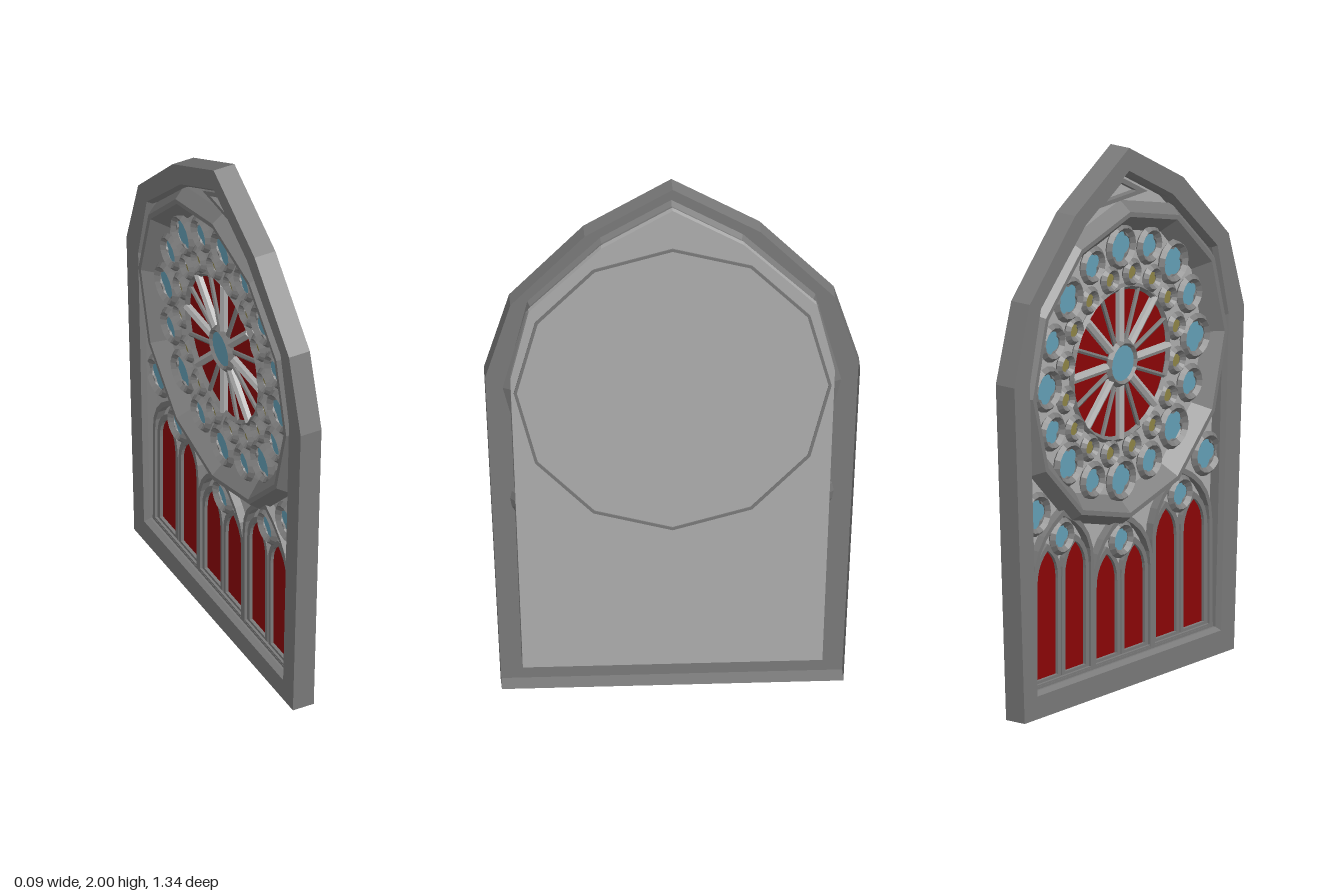
import * as THREE from 'three';

const paint = (color) => new THREE.MeshStandardMaterial({ color, flatShading: true, side: THREE.DoubleSide });

export function createModel() {
  const dark = paint(0x7a7a7a), pale = paint(0xaeaeae);
  const red = paint(0x8c0507), blue = paint(0x64a0b6), amber = paint(0x8e8446);
  const model = new THREE.Group();
  model.name = 'tracedWindow';
  // Built facing +z, then turned so the tracery faces -x
  const win = new THREE.Group();
  win.name = 'window';
  win.rotation.y = -Math.PI / 2;
  model.add(win);
  // Tracery sits on the face of the recessed panel
  const FACE = -0.016;
  const tracery = new THREE.Group();
  tracery.name = 'tracery';
  tracery.position.z = FACE;
  win.add(tracery);

  const add = (name, geo, mat, x = 0, y = 0, z = 0, parent = tracery) => {
    const m = new THREE.Mesh(geo, mat);
    m.name = name;
    m.position.set(x, y, z);
    parent.add(m);
    return m;
  };
  const extrude = (shape, depth) =>
    new THREE.ExtrudeGeometry(shape, { depth, bevelEnabled: false, curveSegments: 5 });
  const mirror = (half) => [...half, ...half.slice(0, -1).reverse().map(([x, y]) => [-x, y])];
  const vectors = (pts) => pts.map(([x, y]) => new THREE.Vector2(x, y));

  // Skin joining closed loops, each given as [points, z]
  const loft = (loops) => {
    const n = loops[0][0].length, pos = [], idx = [];
    loops.forEach(([pts, z]) => pts.forEach(([x, y]) => pos.push(x, y, z)));
    for (let k = 0; k < loops.length - 1; k++) {
      for (let i = 0; i < n; i++) {
        const a = k * n + i, b = k * n + (i + 1) % n;
        idx.push(a, b, b + n, a, b + n, a + n);
      }
    }
    const g = new THREE.BufferGeometry();
    g.setAttribute('position', new THREE.Float32BufferAttribute(pos, 3));
    g.setIndex(idx);
    g.computeVertexNormals();
    return g;
  };

  // Outer frame, hollow and open at the back
  const outer = mirror([[0.61, 0], [0.67, 1.26], [0.58, 1.55], [0.315, 1.82], [0, 2]]);
  const inner = mirror([[0.535, 0.085], [0.58, 1.25], [0.515, 1.52], [0.255, 1.77], [0, 1.915]]);
  const lip = inner.map(([x, y]) => [x * 0.985, 0.9 + (y - 0.9) * 0.985]);
  add('frame', loft([[outer, -0.042], [outer, 0.042], [inner, 0.042], [lip, 0.022], [lip, FACE]]), dark, 0, 0, 0, win);
  add('backPanel', extrude(new THREE.Shape(vectors(inner)), 0.042 + FACE), pale, 0, 0, -0.042, win);

  // Twelve-sided rose surround: bevelled outside, sloping in to the wheel
  const CY = 1.195;
  const dodecagon = (r) => Array.from({ length: 12 }, (_, i) =>
    [r * Math.sin(i * Math.PI / 6), CY + r * Math.cos(i * Math.PI / 6)]);
  add('roseSurround', loft([
    [dodecagon(0.557), -0.042], [dodecagon(0.557), -0.047], [dodecagon(0.568), -0.047], [dodecagon(0.568), -0.02],
    [dodecagon(0.605), 0], [dodecagon(0.568), 0.047], [dodecagon(0.55), 0.047], [dodecagon(0.495), -0.01],
  ]), dark, 0, 0, 0, win);

  // Round light: glass, cusped plate and moulding
  const roundel = (name, x, y, r, mat, turn = 0) => {
    const g = new THREE.Group();
    g.name = name;
    g.position.set(x, y, 0);
    g.rotation.z = turn;
    tracery.add(g);
    add('glass', new THREE.CircleGeometry(r, 12), mat, 0, 0, 0.012, g);
    const plate = new THREE.Shape().absarc(0, 0, r, 0, Math.PI * 2);
    const foil = [];
    for (let i = 0; i < 24; i++) {
      const a = i * Math.PI / 12;
      const q = r * (0.66 + 0.2 * Math.abs(Math.cos(2 * a)));
      foil.push([q * Math.cos(a), q * Math.sin(a)]);
    }
    plate.holes.push(new THREE.Path(vectors(foil)));
    add('cusps', extrude(plate, 0.008), dark, 0, 0, 0.012, g);
    add('moulding', new THREE.TorusGeometry(r, 0.015, 4, 16), dark, 0, 0, 0.02, g);
  };

  // Rose wheel: red glass, spokes, hub, and two rings of round lights
  add('roseGlass', new THREE.CircleGeometry(0.28, 32), red, 0, CY, 0.008);
  add('wheelRim', new THREE.TorusGeometry(0.28, 0.012, 4, 32), dark, 0, CY, 0.015);
  for (let i = 0; i < 16; i++) {
    const a = i * Math.PI / 8, s = Math.sin(a), c = Math.cos(a), big = i % 2 === 0;
    const bar = big ? 0.017 : 0.009;
    const spoke = add('spoke', new THREE.CylinderGeometry(bar, bar, 0.2, 6), big ? pale : dark,
      0.18 * s, CY + 0.18 * c, 0.016);
    spoke.rotation.z = -a;
    roundel('outerLight', 0.432 * s, CY + 0.432 * c, big ? 0.07 : 0.057, blue, -a);
    const b = a + Math.PI / 16;
    roundel('innerLight', 0.328 * Math.sin(b), CY + 0.328 * Math.cos(b), 0.038, amber, -b);
  }
  add('hubGlass', new THREE.CircleGeometry(0.07, 16), blue, 0, CY, 0.028);
  add('hubRing', new THREE.TorusGeometry(0.075, 0.014, 4, 16), dark, 0, CY, 0.024);

  // Pointed arch outline
  const arch = (w, y0, spring, top) => {
    const s = new THREE.Shape(), h = w / 2, k = spring + (top - spring) * 0.65;
    s.moveTo(-h, y0);
    s.lineTo(h, y0);
    s.lineTo(h, spring);
    s.quadraticCurveTo(h, k, 0, top);
    s.quadraticCurveTo(-h, k, -h, spring);
    s.closePath();
    return s;
  };
  const archFrame = (w, y0, spring, top, t, depth) => {
    const s = arch(w, y0, spring, top);
    s.holes.push(arch(w - 2 * t, y0 + t, spring, top - 1.4 * t));
    return extrude(s, depth);
  };

  // Three bays, each with a pair of lancets under a round light
  for (const side of [-1, 0, 1]) {
    const x = side * 0.345, rise = side ? 0.09 : 0;
    add('bayArch', archFrame(0.35, 0.09, 0.41 + rise, 0.64 + rise, 0.016, 0.03), dark, x);
    for (const s of [-1, 1]) {
      const lx = x + s * 0.081;
      add('lancetGlass', new THREE.ShapeGeometry(arch(0.13, 0.115, 0.39 + rise, 0.51 + rise), 5), red, lx, 0, 0.008);
      add('lancetFrame', archFrame(0.156, 0.105, 0.39 + rise, 0.53 + rise, 0.018, 0.02), dark, lx);
    }
    roundel('bayLight', x, 0.54 + rise, 0.055, blue);
    if (side) roundel('cornerLight', side * 0.495, 0.745, 0.068, blue);
  }
  add('sill', new THREE.BoxGeometry(1.05, 0.025, 0.034), dark, 0, 0.1, 0.012);

  // Moulded triangle at the apex
  const apex = new THREE.Shape(vectors([[-0.15, 1.8], [0.15, 1.8], [0, 1.885]]));
  apex.holes.push(new THREE.Path(vectors([[-0.09, 1.815], [0.09, 1.815], [0, 1.865]])));
  add('apexMoulding', extrude(apex, 0.025), dark);

  return model;
}
